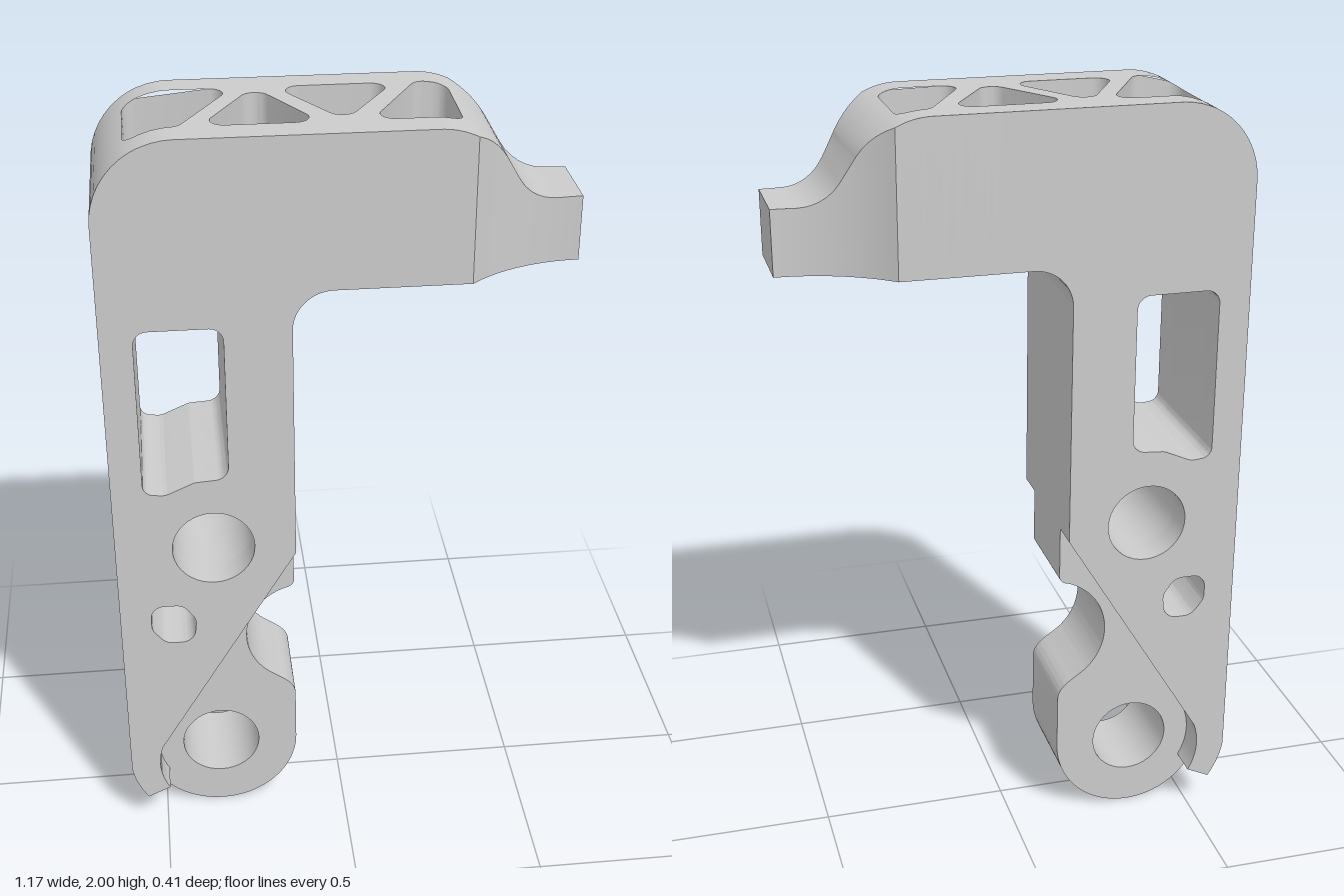
import * as THREE from 'three';
import { toCreasedNormals } from 'three/addons/utils/BufferGeometryUtils.js';

const LEFT = -0.59, RIGHT = 0.58, UNDER = 1.615, FLOOR = 1.82;
const HALF = 0.207, CORE = 0.125;
const round4 = (v) => Math.round(v * 1e4) / 1e4;

// Polygon with true circular arcs at its corners
function roundPoly(corners, r, n = 8) {
  const out = [];
  corners.forEach((c, i) => {
    const p = new THREE.Vector2(...c);
    const a = new THREE.Vector2(...corners.at(i - 1)).sub(p);
    const b = new THREE.Vector2(...corners[(i + 1) % corners.length]).sub(p);
    const half = Math.acos(a.dot(b) / (a.length() * b.length())) / 2;
    const t = Math.min(r / Math.tan(half), 0.48 * a.length(), 0.48 * b.length());
    a.setLength(t).add(p);
    b.setLength(t).add(p);
    for (let k = 0; k <= n; k++) {
      const u = k / n, wa = (1 - u) ** 2, wp = 2 * u * (1 - u) * Math.sin(half), wb = u * u;
      const s = wa + wp + wb;
      out.push(new THREE.Vector2(
        round4((wa * a.x + wp * p.x + wb * b.x) / s),
        round4((wa * a.y + wp * p.y + wb * b.y) / s)));
    }
  });
  return out;
}

function circle(x, y, r, n = 40) {
  return Array.from({ length: n }, (_, i) => new THREE.Vector2(
    round4(x + r * Math.cos(i / n * 2 * Math.PI)), round4(y + r * Math.sin(i / n * 2 * Math.PI))));
}

// Height of the arm's upper surface along x
function top(x) {
  if (x < -0.39) return 1.8 + Math.sqrt(Math.max(0, 0.04 - (x + 0.39) ** 2));
  if (x < 0.21) return 2;
  if (x < 0.383) return 1.8 + Math.sqrt(0.04 - (x - 0.21) ** 2);
  if (x < 0.418) return 1.9 - (x - 0.383) * 0.06 / 0.035;
  if (x < 0.522) return 1.9 - Math.sqrt(0.0144 - (x - 0.522) ** 2);
  return 1.78;
}

// Half width of the arm along x, narrowing towards the nose
function width(x) {
  return x <= 0.3 ? HALF : 0.508 - Math.sqrt(0.411 ** 2 - (RIGHT - x) ** 2);
}

// Lowest and highest z of a convex outline at x
function span(poly, x) {
  const zs = [];
  poly.forEach((a, i) => {
    const b = poly[(i + 1) % poly.length];
    if (x < Math.min(a.x, b.x) || x > Math.max(a.x, b.x)) return;
    if (a.x === b.x) zs.push(a.y, b.y);
    else zs.push(a.y + (b.y - a.y) * (x - a.x) / (b.x - a.x));
  });
  return [Math.min(...zs), Math.max(...zs)];
}

class Surface {
  pos = [];
  tri(...p) { this.pos.push(...p.flat()); }
  quad(a, b, c, d) { this.tri(a, b, c); this.tri(a, c, d); }
  build() {
    const g = new THREE.BufferGeometry();
    g.setAttribute('position', new THREE.Float32BufferAttribute(this.pos, 3));
    return toCreasedNormals(g, 0.5);
  }
}

// Skin over the arm's plan in columns along x, leaving the outlines open
function skin(s, xs, height, holes, up) {
  for (let i = 0; i + 1 < xs.length; i++) {
    const [x0, x1] = [xs[i], xs[i + 1]], mid = (x0 + x1) / 2;
    const active = holes
      .filter((h) => mid > Math.min(...h.map((p) => p.x)) && mid < Math.max(...h.map((p) => p.x)))
      .sort((a, b) => span(a, mid)[0] - span(b, mid)[0]);
    const edges = (x) => [-width(x), ...active.flatMap((h) => span(h, x)), width(x)];
    const e0 = edges(x0), e1 = edges(x1), y0 = height(x0), y1 = height(x1);
    for (let k = 0; k < e0.length; k += 2) {
      const q = [[x0, y0, e0[k]], [x0, y0, e0[k + 1]], [x1, y1, e1[k + 1]], [x1, y1, e1[k]]];
      s.quad(...(up ? q : q.reverse()));
    }
  }
}

export function createModel() {
  const group = new THREE.Group();
  const solid = new THREE.MeshStandardMaterial({ color: 0xcccccc });
  const open = new THREE.MeshStandardMaterial({ color: 0xcccccc, side: THREE.DoubleSide });
  const add = (name, geometry, material) => {
    const mesh = new THREE.Mesh(geometry, material);
    mesh.name = name;
    group.add(mesh);
    return mesh;
  };

  // Openings through the leg
  const slot = roundPoly([[-0.51, 1.53], [-0.295, 1.53], [-0.295, 1.114], [-0.38, 1.108],
    [-0.455, 1.075], [-0.51, 1.08]], 0.035);
  const smallHole = roundPoly([[-0.51, 0.737], [-0.425, 0.737], [-0.393, 0.69], [-0.4, 0.62],
    [-0.475, 0.62], [-0.51, 0.665]], 0.04);
  const legHoles = [slot, smallHole, circle(-0.34, 0.91, 0.105)];

  const startLeg = () => {
    const s = new THREE.Shape();
    s.moveTo(LEFT, UNDER);
    s.lineTo(LEFT, 0.2);
    s.quadraticCurveTo(-0.585, 0.15, -0.55, 0.095);
    return s;
  };
  const finishLeg = (s, holes, depth) => {
    s.lineTo(-0.13, 1.515);
    s.absarc(-0.03, 1.515, 0.1, Math.PI, Math.PI / 2, true);
    s.closePath();
    s.holes = holes.map((h) => new THREE.Path(h));
    return toCreasedNormals(
      new THREE.ExtrudeGeometry(s, { depth, bevelEnabled: false, curveSegments: 20 }), 0.5);
  };

  // Leg core with pivot eye and rounded notch
  const core = startLeg();
  core.absarc(-0.34, 0.21, 0.21, Math.PI * 7 / 6, Math.PI * 2, false);
  core.lineTo(-0.13, 0.36);
  core.quadraticCurveTo(-0.13, 0.39, -0.165, 0.415);
  core.absarc(-0.1, 0.565, 0.16, 4.03, 1.92, true);
  core.quadraticCurveTo(-0.13, 0.72, -0.13, 0.74);
  add('legCore', finishLeg(core, [...legHoles, circle(-0.34, 0.21, 0.105)], 2 * CORE), solid)
    .position.z = -CORE;

  // Side plates cut off along a diagonal
  const plate = startLeg();
  plate.lineTo(-0.489, 0.124);
  plate.absarc(-0.34, 0.21, 0.172, Math.PI * 7 / 6, Math.PI * 0.89, true);
  plate.lineTo(-0.13, 0.88);
  const plateGeometry = finishLeg(plate, legHoles, HALF - CORE);
  add('frontPlate', plateGeometry, solid).position.z = CORE;
  add('backPlate', plateGeometry, solid).position.z = -HALF;

  // Pocket outlines in the arm's upper surface, in x and z
  const pockets = [
    [[-0.505, -0.13], [-0.24, -0.13], [-0.379, 0.125], [-0.505, 0.125]],
    [[-0.19, -0.13], [-0.052, 0.125], [-0.328, 0.125]],
    [[-0.14, -0.13], [0.15, -0.13], [0.005, 0.12]],
    [[0.2, -0.13], [0.28, -0.13], [0.28, 0.125], [0.065, 0.125]],
  ].map((p) => roundPoly(p, 0.035));
  const socket = circle(0.16, 0, 0.195);

  // Column positions along the arm
  const columns = [LEFT, -0.03, 0.3, 0.383, 0.418, RIGHT];
  for (let i = 0; i <= 12; i++) {
    columns.push(-0.39 - 0.2 * Math.cos(i / 24 * Math.PI), 0.21 + 0.0144 * i, 0.383 + 0.0164 * i);
  }
  [...pockets, socket].flat().forEach((p) => columns.push(p.x));
  const xs = [...new Set(columns.map(round4))].sort((a, b) => a - b);

  // Arm and tapered nose
  const arm = new Surface();
  skin(arm, xs, top, pockets, true);
  skin(arm, xs.filter((x) => x >= -0.03), () => UNDER, [socket], false);
  for (let i = 0; i + 1 < xs.length; i++) {
    const [a, b] = [xs[i], xs[i + 1]];
    for (const m of [1, -1]) {
      const q = [[a, UNDER, m * width(a)], [b, UNDER, m * width(b)],
        [b, top(b), m * width(b)], [a, top(a), m * width(a)]];
      arm.quad(...(m > 0 ? q : q.reverse()));
    }
  }
  for (const [x, m] of [[LEFT, -1], [RIGHT, 1]]) {
    const w = m * width(x), y = top(x);
    arm.quad([x, UNDER, w], [x, UNDER, -w], [x, y, -w], [x, y, w]);
  }
  add('arm', arm.build(), solid);

  // Pocket walls and floors
  pockets.forEach((poly, n) => {
    const s = new Surface();
    poly.forEach((a, i) => {
      const b = poly[(i + 1) % poly.length];
      s.quad([a.x, FLOOR, a.y], [b.x, FLOOR, b.y], [b.x, top(b.x), b.y], [a.x, top(a.x), a.y]);
      if (i > 0) s.tri([poly[0].x, FLOOR, poly[0].y], [b.x, FLOOR, b.y], [a.x, FLOOR, a.y]);
    });
    add(`pocket${n + 1}`, s.build(), open);
  });

  // Threaded socket under the arm
  const thread = [[0.195, UNDER], [0.175, 1.635]];
  for (let i = 0; i < 4; i++) {
    const y = 1.64 + i * 0.035;
    thread.push([0.163, y], [0.163, y + 0.012], [0.178, y + 0.018], [0.178, y + 0.03]);
  }
  thread.push([0.163, 1.78], [0, 1.78]);
  const lathe = new THREE.LatheGeometry(thread.map((p) => new THREE.Vector2(...p)), 40);
  add('threadedSocket', toCreasedNormals(lathe, 0.4), open).position.x = 0.16;

  return group;
}
